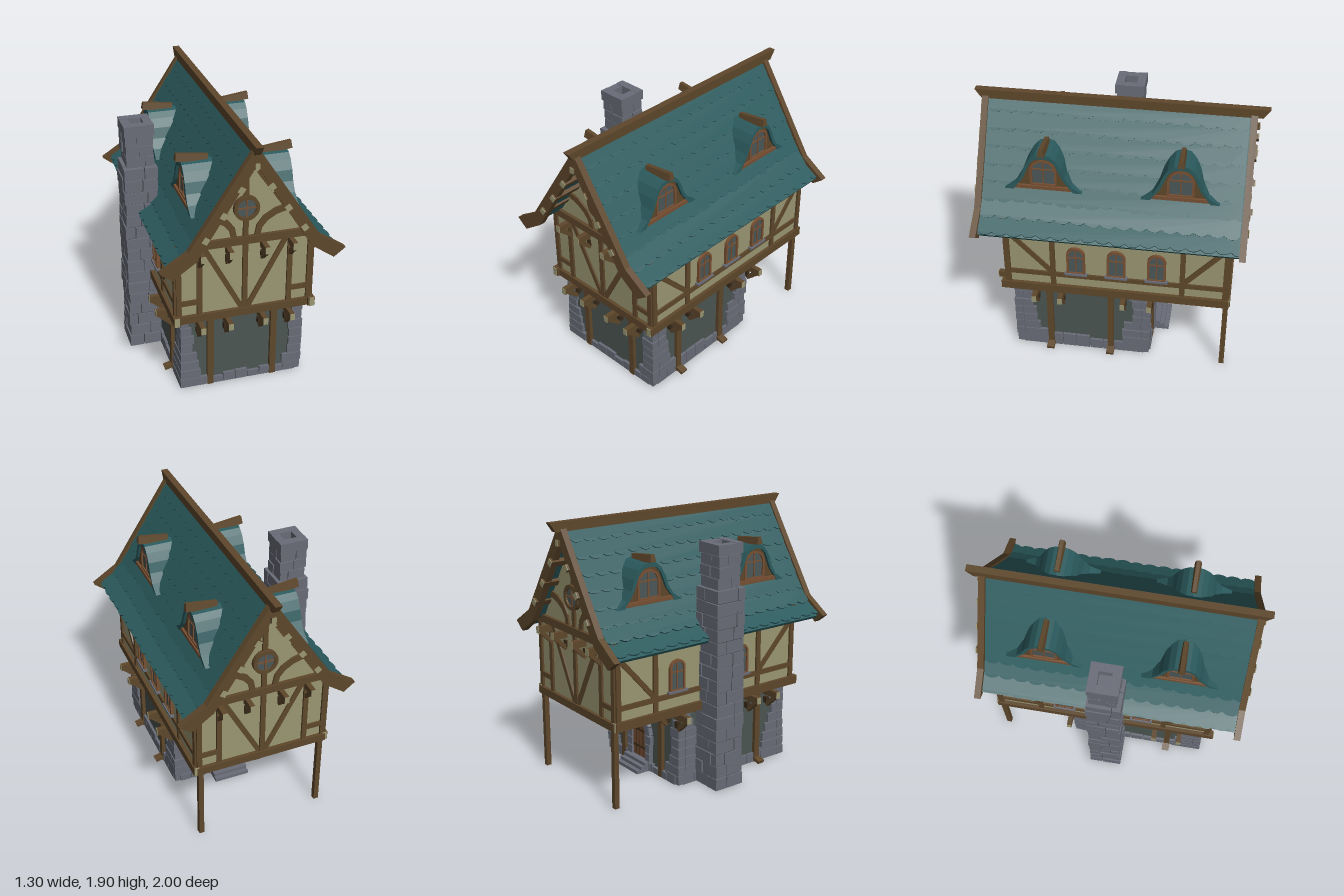
import * as THREE from 'three';
import { mergeGeometries } from 'three/addons/utils/BufferGeometryUtils.js';

const mat = (name, color) => Object.assign(new THREE.MeshStandardMaterial({ color }), { name });
const timber = mat('timber', 0x5e472b), frameWood = mat('frame wood', 0x785032), cream = mat('cream plaster', 0x9a9672);
const darkPlaster = mat('dark plaster', 0x4b5552), stone = mat('stone', 0x696c77), mortar = mat('mortar', 0x43464c);
const teal = mat('teal shingle', 0x2b5a5d), glass = mat('glass', 0x4c5757), darkWood = mat('dark wood', 0x3a2b1a);

let seed = 7;
const rnd = () => (seed = (seed * 16807) % 2147483647) / 2147483647;

function add(g, name, geo, m) {
  const mesh = new THREE.Mesh(geo, m);
  mesh.name = name;
  g.add(mesh);
  return mesh;
}
// Box given by its limits
const boxGeo = (x0, x1, y0, y1, z0, z1) =>
  new THREE.BoxGeometry(x1 - x0, y1 - y0, z1 - z0).translate((x0 + x1) / 2, (y0 + y1) / 2, (z0 + z1) / 2);
const box = (g, name, m, ...lim) => add(g, name, boxGeo(...lim), m);
// Timber lying on a wall plane between two points
function beam(g, name, x1, y1, x2, y2, w = 0.036, z0 = -0.01, z1 = 0.015, m = timber) {
  const geo = new THREE.BoxGeometry(Math.hypot(x2 - x1, y2 - y1), w, z1 - z0).rotateZ(Math.atan2(y2 - y1, x2 - x1));
  add(g, name, geo.translate((x1 + x2) / 2, (y1 + y2) / 2, (z0 + z1) / 2), m);
}
const plate = (g, name, shape, m, z0, z1) =>
  add(g, name, new THREE.ExtrudeGeometry(shape, { depth: z1 - z0, bevelEnabled: false, curveSegments: 14 }).translate(0, 0, z0), m);
const poly = (pts) => new THREE.Shape(pts.map((p) => new THREE.Vector2(...p)));
// Symmetric outline from a half profile that starts on the axis
const mirrored = (half) => poly([...half, ...half.filter(([x]) => x > 0).map(([x, y]) => [-x, y]).reverse()]);
const disc = (y, r) => new THREE.Shape().absarc(0, y, r, 0, Math.PI * 2);
const archShape = (r, y0, top, x = 0) =>
  new THREE.Shape().moveTo(x - r, y0).lineTo(x + r, y0).absarc(x, top - r, r, 0, Math.PI);
// Local frame of a wall: x across, y up, z outward
function facade(parent, name, x, z, rotY) {
  const g = new THREE.Group();
  g.name = name;
  g.position.set(x, 0, z);
  g.rotation.y = rotY;
  parent.add(g);
  return g;
}
// Joist with pale end cap and a slanted bracket below
function joist(g, x, y, out) {
  box(g, 'joist', timber, x - 0.017, x + 0.017, y, y + 0.048, -0.08, out);
  box(g, 'joistEnd', cream, x - 0.017, x + 0.017, y, y + 0.048, out, out + 0.004);
  add(g, 'bracket', new THREE.BoxGeometry(0.028, 0.03, 0.13).rotateX(-0.75).translate(x, y - 0.032, out * 0.45), timber);
  box(g, 'bracketFoot', darkWood, x - 0.015, x + 0.015, y - 0.065, y - 0.02, -0.02, 0.012);
}
function archWindow(g, x, r, y0, top, z) {
  const f = archShape(r, y0, top, x), my = y0 + (top - y0) * 0.62;
  f.holes.push(archShape(r - 0.016, y0 + 0.014, top - 0.016, x));
  plate(g, 'windowFrame', f, frameWood, z - 0.01, z + 0.014);
  plate(g, 'windowGlass', archShape(r - 0.01, y0 + 0.01, top - 0.01, x), glass, z - 0.005, z + 0.003);
  beam(g, 'mullion', x, y0 + 0.01, x, top - 0.01, 0.009, z, z + 0.009, frameWood);
  beam(g, 'mullion', x - r + 0.01, my, x + r - 0.01, my, 0.009, z, z + 0.009, frameWood);
}
function gableWall(g, out) {
  const curve = [[0.31, 1.375], [0.2, 1.348], [0.12, 1.3], [0.075, 1.24], [0.06, 1.165], [0.1, 1.165], [0.112, 1.22], [0.15, 1.265], [0.21, 1.302], [0.32, 1.332]];
  for (const s of [-1, 1]) {
    for (const x of [0.458, 0.315]) beam(g, 'wallPost', s * x, 0.6, s * x, 1.13);
    beam(g, 'lowRail', s * 0.46, 0.717, s * 0.315, 0.717);
    beam(g, 'diagonal', s * 0.02, 0.62, s * 0.285, 1.12, 0.036, -0.01, 0.012);
    plate(g, 'curvedBrace', poly(curve.map(([x, y]) => [s * x, y])), timber, -0.01, 0.014);
    for (const x of [0.122, 0.315]) joist(g, s * x, 1.068, 0.11);
    for (const [x, y] of [[0.1, 1.61], [0.213, 1.447], [0.33, 1.29]]) {
      const line = [s * (x - 0.012), y + 0.018, s * (x + 0.012), y - 0.018, 0.04];
      beam(g, 'purlin', ...line, -0.02, out);
      beam(g, 'purlinEnd', ...line, out, out + 0.005, cream);
    }
  }
  box(g, 'ridgePurlin', timber, -0.016, 0.016, 1.74, 1.78, -0.02, out);
  box(g, 'purlinEnd', cream, -0.016, 0.016, 1.74, 1.78, out, out + 0.005);
  beam(g, 'centrePost', 0, 0.6, 0, 1.76);
  beam(g, 'tieBeam', -0.478, 1.142, 0.478, 1.142, 0.055, -0.01, 0.025);
  beam(g, 'sillBeam', -0.478, 0.593, 0.478, 0.593, 0.056, -0.03, 0.025);
  // Round window
  const ring = disc(1.378, 0.088);
  ring.holes.push(disc(1.378, 0.064));
  plate(g, 'roundFrame', ring, timber, -0.01, 0.032);
  plate(g, 'roundGlass', disc(1.378, 0.07), glass, 0.012, 0.018);
  beam(g, 'mullion', 0, 1.315, 0, 1.44, 0.01, 0.018, 0.024, frameWood);
  beam(g, 'mullion', -0.064, 1.378, 0.064, 1.378, 0.01, 0.018, 0.024, frameWood);
}
function sideWall(g, s) {
  for (const z of [0.732, 0.41, -0.5, -0.8]) beam(g, 'wallPost', -s * z, 0.6, -s * z, 1.09);
  beam(g, 'lowRail', -s * 0.74, 0.718, s * 0.81, 0.718, 0.036, -0.01, 0.013);
  for (const [z0, z1] of [[0.73, 0.425], [-0.8, -0.515]])
    beam(g, 'diagonal', -s * z0, 1.07, -s * z1, 0.745, 0.036, -0.01, 0.012);
  beam(g, 'sillBeam', -s * 0.785, 0.595, s * 0.83, 0.595, 0.062, -0.025, 0.025);
  for (const z of [0.787, -0.832]) box(g, 'sillEnd', cream, -s * z - 0.003, -s * z + 0.003, 0.563, 0.627, -0.014, 0.02);
  // The chimney takes the place of the middle window on its side
  for (const z of s > 0 ? [0.245, -0.038, -0.32] : [0.245, -0.32]) {
    archWindow(g, -s * z, 0.065, 0.742, 0.97, 0.006);
    box(g, 'windowSill', stone, -s * z - 0.08, -s * z + 0.08, 0.735, 0.75, 0, 0.03);
  }
}
// Bell-shaped dormer whose front is set back under a rim
function dormer(g) {
  const bell = [[0, 1.635], [0.05, 1.625], [0.09, 1.59], [0.125, 1.53], [0.15, 1.46], [0.19, 1.395], [0.265, 1.345]];
  const inner = [[0, 1.603], [0.05, 1.593], [0.085, 1.56], [0.11, 1.5], [0.135, 1.44], [0.205, 1.345]];
  plate(g, 'dormerRoof', mirrored(bell), teal, -0.24, -0.035);
  plate(g, 'dormerRim', mirrored([...bell, ...inner.slice().reverse()]), teal, -0.035, 0);
  const front = mirrored(inner);
  front.holes.push(archShape(0.088, 1.385, 1.58));
  plate(g, 'dormerFront', front, timber, -0.04, -0.02);
  archWindow(g, 0, 0.092, 1.378, 1.582, -0.028);
  beam(g, 'dormerSill', -0.2, 1.366, 0.2, 1.366, 0.026, -0.04, -0.004, frameWood);
  const ridge = plate(g, 'dormerRidge', poly([[-0.024, -0.026], [0.024, -0.026], [0.014, 0.026], [-0.014, 0.026]]), timber, -0.11, 0.11);
  ridge.position.set(0, 1.65, -0.078);
  ridge.rotation.x = -0.13;
}
// Scalloped shingle rows following the bent roof slope
function shingles(house) {
  const P = [[0, 1.848], [0.425, 1.183], [0.576, 1.082]].map((p) => new THREE.Vector2(...p));
  const l0 = P[0].distanceTo(P[1]), total = l0 + P[1].distanceTo(P[2]), rows = 8, half = 0.888;
  const at = (d) => (d < l0 ? P[0].clone().lerp(P[1], d / l0) : P[1].clone().lerp(P[2], (d - l0) / (total - l0)));
  for (const s of [-1, 1]) for (let i = 0; i < rows; i++) {
    const a = at(Math.max(0, i * total / rows - 0.03)), dir = at((i + 1) * total / rows).sub(a), len = dir.length();
    dir.normalize();
    const pts = [[half, 0], [-half, 0]], w = 2 * half / (17 + (i % 2) * 0.5);
    for (let u = -half - (i % 2) * w / 2; u < half - 0.01; u += w) {
      const l = len - rnd() * 0.012;
      for (const [t, d] of [[0.02, 0.02], [0.25, 0.004], [0.5, 0], [0.75, 0.004], [0.98, 0.02]])
        if (Math.abs(u + t * w) <= half) pts.push([u + t * w, l - d]);
    }
    const m = plate(house, 'shingleRow', poly(pts.reverse()), teal, 0, 0.011);
    const normal = new THREE.Vector3(-s * dir.y, dir.x, 0), down = new THREE.Vector3(s * dir.x, dir.y, 0);
    m.quaternion.setFromRotationMatrix(new THREE.Matrix4().makeBasis(new THREE.Vector3(0, 0, s), down, normal));
    m.rotateX(0.06);
    m.position.set(s * a.x, a.y, 0.0175);
  }
}
const span = (p, q) => [Math.min(p, q), Math.max(p, q)];
// Stacked stone courses, each split into four uneven blocks
function stack(list, x, half, y0, y1, courses) {
  const h = (y1 - y0) / courses, edge = () => half - rnd() * 0.012;
  for (let i = 0; i < courses; i++) {
    const y = y0 + i * h, sx = x + (rnd() - 0.5) * half, sz = (rnd() - 0.5) * half;
    for (const a of [-1, 1]) for (const b of [-1, 1])
      list.push(boxGeo(...span(sx + a * 0.003, x + a * edge()), y + 0.003, y + h - 0.003, ...span(sz + b * 0.003, b * edge())));
  }
}
function groundFloor(house) {
  // Hollow plaster walls
  for (const z of [-0.255, 0.655]) box(house, 'groundWall', darkPlaster, -0.42, 0.42, 0.02, 0.57, z, z + 0.04);
  for (const x of [-0.42, 0.38]) box(house, 'groundWall', darkPlaster, x, x + 0.04, 0.02, 0.57, -0.215, 0.655);
  const st = [];
  // Corner quoins, wider towards the ground
  for (const s of [-1, 1]) for (const [zc, b] of [[0.72, 1], [-0.28, -1]]) for (let i = 0; i < 8; i++) {
    const y = [i * 0.07 + 0.003, i * 0.07 + 0.067], grow = 0.07 + 0.11 * (1 - i / 8) ** 2, o = rnd() * 0.01;
    const X = s * (0.445 - o), Z = zc - b * o, Z2 = Z - b * 0.063;
    st.push(boxGeo(...span(X, X - s * (grow * 0.7 + rnd() * 0.05)), ...y, ...span(Z, Z - b * 0.06)));
    st.push(boxGeo(...span(X, X - s * 0.06), ...y, ...span(Z2, Z2 - b * (grow - 0.04 + rnd() * 0.06))));
  }
  // Base course
  for (let i = 0; i < 9; i++) {
    for (const z of [0.7, -0.26]) st.push(boxGeo(-0.4 + i * 0.089, -0.315 + i * 0.089, 0, 0.045 + rnd() * 0.03, z - 0.02, z + 0.015));
    for (const x of [-0.422, 0.422]) st.push(boxGeo(x - 0.017, x + 0.017, 0, 0.07 + rnd() * 0.04, -0.23 + i * 0.1, -0.135 + i * 0.1));
  }
  add(house, 'cornerStones', mergeGeometries(st), stone);
  // Posts and joists on each side
  const ends = [[-0.315, -0.122, 0.122, 0.315], [-0.228, 0.228]];
  const walls = [[0, 0.72, 0, ...ends, 0.13], [0, -0.28, Math.PI, ...ends, 0.11]];
  for (const s of [-1, 1])
    walls.push([s * 0.445, 0, s * Math.PI / 2, [0.54, 0.355, -0.09, -0.28].map((z) => -s * z), [-s * 0.455, -s * 0.01], 0.122]);
  for (const [x, z, r, joists, posts, out] of walls) {
    const g = facade(house, 'groundFacade', x, z, r);
    for (const p of joists) joist(g, p, 0.515, out);
    for (const p of posts) {
      box(g, 'groundPost', timber, p - 0.022, p + 0.022, 0, 0.57, -0.03, 0.002);
      if (x) add(g, 'postFoot', new THREE.BoxGeometry(0.055, 0.022, 0.07).rotateX(0.3).translate(p, 0.022, 0.02), timber);
    }
    if (r === Math.PI) door(g, -0.03);
  }
  for (const s of [-1, 1]) box(house, 'backPost', timber, s * 0.448 - 0.018, s * 0.448 + 0.018, 0, 0.57, -0.828, -0.792);
}
function door(g, x) {
  plate(g, 'door', archShape(0.085, 0.07, 0.36, x), frameWood, -0.03, -0.008);
  for (const d of [-0.042, 0, 0.042]) beam(g, 'doorGap', x + d, 0.075, x + d, 0.31, 0.005, -0.01, -0.006, darkWood);
  for (const y of [0.15, 0.28]) beam(g, 'doorStrap', x - 0.075, y, x + 0.075, y, 0.014, -0.01, -0.003, darkWood);
  const st = [];
  for (let i = 0; i < 7; i++)
    st.push(boxGeo(0.085, 0.14, -0.028, 0.028, -0.03, 0.008).rotateZ((i + 0.5) * Math.PI / 7).translate(x, 0.275, 0));
  for (const s of [-1, 1]) for (let i = 0; i < 4; i++)
    st.push(boxGeo(-0.027, 0.027 + rnd() * 0.01, 0, 0.062, -0.03, 0.008).translate(x + s * 0.112, i * 0.068, 0));
  for (let i = 0; i < 3; i++) st.push(boxGeo(x - 0.13, x + 0.13, i * 0.024, (i + 1) * 0.024, -0.02, 0.11 - i * 0.033));
  add(g, 'doorStones', mergeGeometries(st), stone);
}
function chimney(house) {
  const st = [], x = -0.546;
  stack(st, x, 0.123, 0, 1.44, 16);
  stack(st, x, 0.102, 1.44, 1.67, 3);
  for (const c of [-0.075, 0.075]) {
    st.push(boxGeo(x - 0.104, x + 0.104, 1.672, 1.745, c - 0.03, c + 0.03));
    st.push(boxGeo(x + c - 0.029, x + c + 0.029, 1.672, 1.742, -0.045, 0.045));
  }
  add(house, 'chimneyStones', mergeGeometries(st), stone);
  for (const [r, y0, y1, m] of [[0.108, 0.005, 1.435, mortar], [0.088, 1.43, 1.68, stone]])
    box(house, 'chimneyCore', m, x - r, x + r, y0, y1, -r, r);
}
export function createModel() {
  const model = new THREE.Group();
  model.name = 'timberHouse';
  const house = facade(model, 'house', 0.018, 0, 0);
  groundFloor(house);
  plate(house, 'upperWalls', mirrored([[0, 1.79], [0.42, 1.13], [0.475, 1.09], [0.475, 0.575]]), cream, -0.815, 0.745);
  gableWall(facade(house, 'frontGable', 0, 0.745, 0), 0.215);
  gableWall(facade(house, 'backGable', 0, -0.815, Math.PI), 0.12);
  for (const s of [-1, 1]) {
    sideWall(facade(house, 'sideWall', s * 0.475, 0, s * Math.PI / 2), s);
    for (const z of [0.477, -0.453]) dormer(facade(house, 'dormer', s * 0.367, z, s * Math.PI / 2));
  }
  // Roof
  const slab = mirrored([[0, 1.845], [0.425, 1.18], [0.57, 1.082], [0.556, 1.062], [0.408, 1.158], [0, 1.785]]);
  plate(house, 'roofSlab', slab, teal, -0.875, 0.905);
  shingles(house);
  const barge = mirrored([[0, 1.89], [0.444, 1.21], [0.627, 1.092], [0.547, 1.03], [0.39, 1.14], [0, 1.76]]);
  for (const z of [0.905, -0.92]) plate(house, 'bargeBoard', barge, timber, z, z + 0.045);
  const ridge = poly([[-0.955, 1.835], [0.955, 1.835], [1, 1.9], [-1, 1.9]]);
  plate(house, 'ridgeBeam', ridge, timber, -0.024, 0.024).rotation.y = Math.PI / 2;
  chimney(house);
  return model;
}
